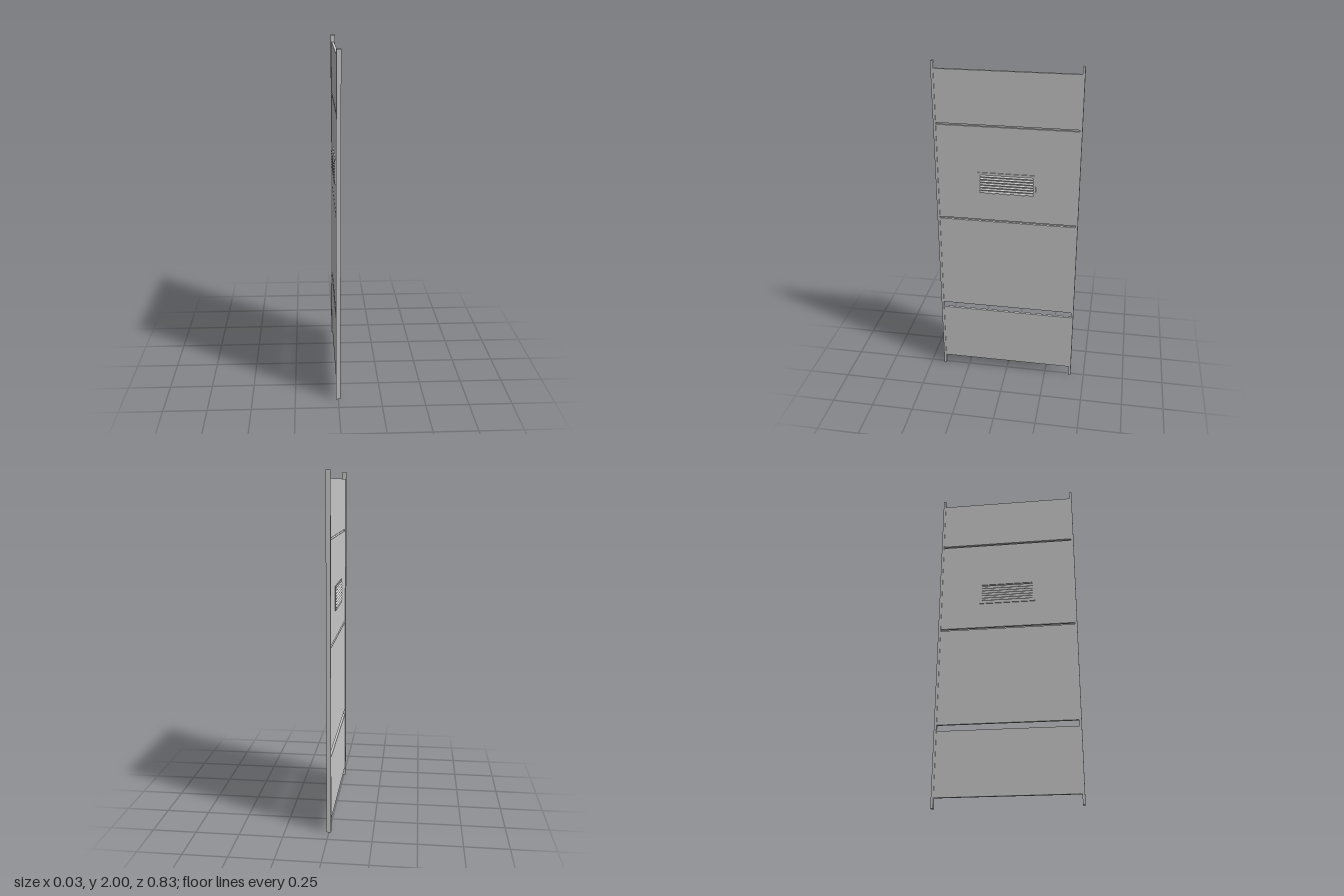
import * as THREE from 'three';

const material = new THREE.MeshStandardMaterial({ color: 0xcccccc, flatShading: true });

export function createModel() {
  const model = new THREE.Group();
  model.name = 'partitionPanel';

  const box = (parent, name, w, h, d, x, y, z) => {
    const mesh = new THREE.Mesh(new THREE.BoxGeometry(w, h, d), material);
    mesh.name = name;
    mesh.position.set(x, y, z);
    parent.add(mesh);
    return mesh;
  };

  // Upright posts at both ends
  for (const s of [1, -1]) {
    box(model, s > 0 ? 'frontPost' : 'backPost', 0.025, 2, 0.014, 0, 1, s * 0.41);
  }

  // Infill panels, [bottom, top], separated by narrow gaps
  const panels = [[0.058, 0.434], [0.47, 1.06], [1.071, 1.643], [1.653, 1.958]];
  panels.forEach(([y0, y1], i) => {
    box(model, `panel${i + 1}`, 0.015, y1 - y0, 0.808, 0, (y0 + y1) / 2, 0);
  });

  // Ventilation grille on each face of the upper middle panel
  for (const s of [1, -1]) {
    const vent = new THREE.Group();
    vent.name = s > 0 ? 'leftVent' : 'rightVent';
    vent.position.y = 1.3;
    model.add(vent);

    // Frame border
    for (const e of [1, -1]) {
      box(vent, 'ventFrameRail', 0.007, 0.013, 0.336, s * 0.009, e * 0.0635, 0);
      box(vent, 'ventFrameStile', 0.007, 0.114, 0.013, s * 0.009, 0, e * 0.1615);
    }

    // Louvres sloping down and outward
    for (let i = 0; i < 7; i++) {
      const slat = box(vent, 'louvre', 0.013, 0.003, 0.31, s * 0.011, (i - 3) * 0.0165, 0);
      slat.rotation.z = -s * 0.6;
    }
  }

  return model;
}
